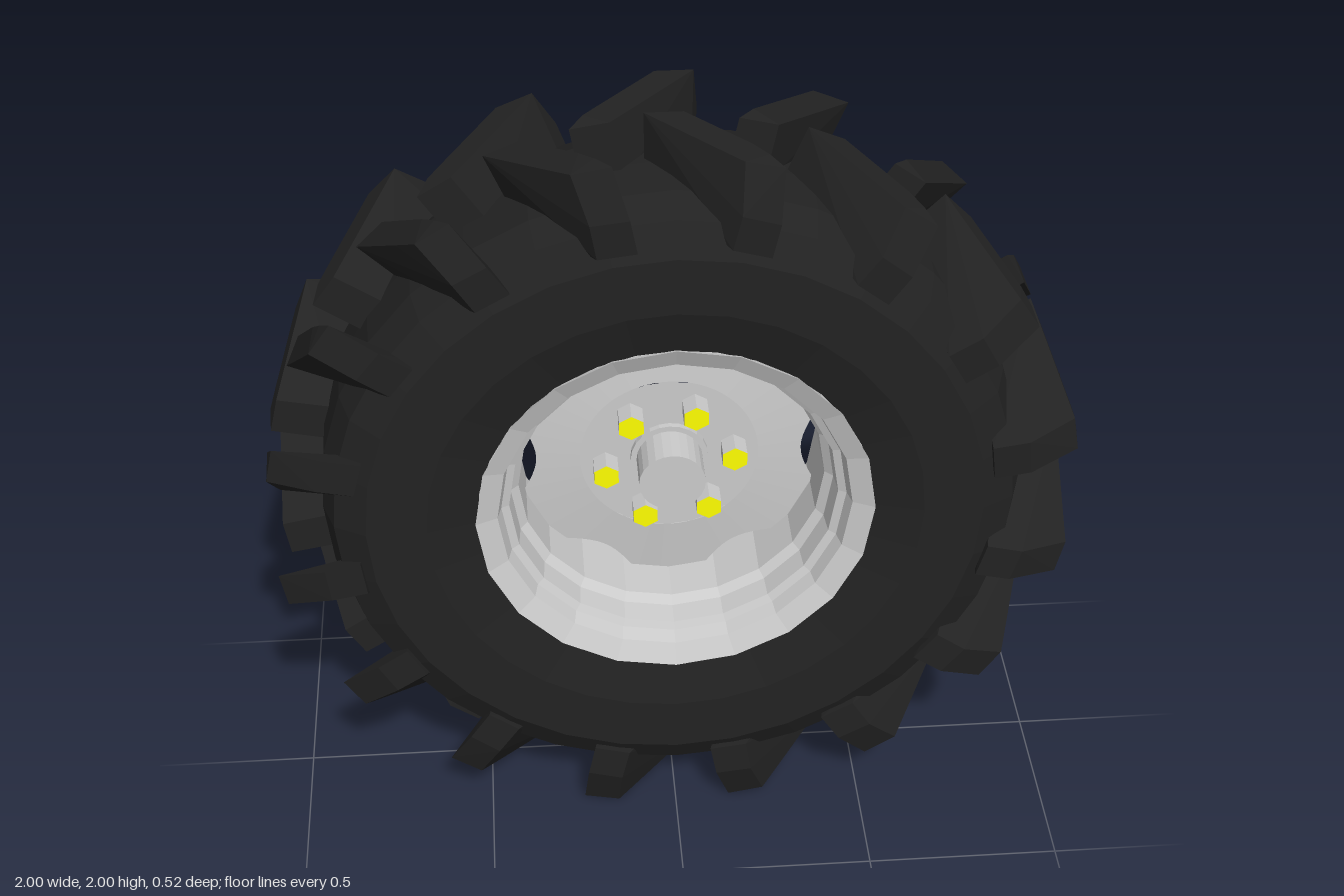
import * as THREE from 'three';
import { ConvexGeometry } from 'three/addons/geometries/ConvexGeometry.js';

const LUGS = 16;
const PITCH = Math.PI * 2 / LUGS;
const rubber = new THREE.MeshStandardMaterial({ color: 0x222222, flatShading: true, side: THREE.DoubleSide });
const steel = new THREE.MeshStandardMaterial({ color: 0xcccccc, flatShading: true, side: THREE.DoubleSide });
const yellow = new THREE.MeshStandardMaterial({ color: 0xffff00, flatShading: true });

function add(parent, name, geometry, material) {
  const mesh = new THREE.Mesh(geometry, material);
  mesh.name = name;
  parent.add(mesh);
  return mesh;
}

// Revolve [radius, z] points around the z axis
function turn(profile, sides) {
  const points = profile.map(([r, z]) => new THREE.Vector2(r, z));
  return new THREE.LatheGeometry(points, sides).rotateX(Math.PI / 2);
}

// One slanted tread bar whose top lies on a 16-sided drum; side is +1 front, -1 back
function lugGeometry(side) {
  const outer = side > 0 ? -11.5 : -1.5;
  // z, angle past the outer end, half angle, radius
  const rows = [
    [0.22, 0, 2.7, 1], [0.26, -1, 3, 0.88], [0.258, -1, 3.4, 0.79], [0.2, 0, 3.4, 0.79],
    [-0.02, 12.2, 3.3, 0.84],
  ];
  for (let i = 1; i <= 6; i++) rows.push([0.22 - 0.04 * i, 12.2 * i / 6, 2.7, 1]);
  const points = [];
  for (const [z, along, half, r] of rows)
    for (const s of [-1, 1]) {
      const a = THREE.MathUtils.degToRad(outer + along + s * half);
      const radius = r / Math.cos(a - Math.round(a / PITCH) * PITCH);
      points.push(new THREE.Vector3(Math.cos(a) * radius, Math.sin(a) * radius, z * side));
    }
  return new ConvexGeometry(points);
}

// Slightly domed disc, its edge cut by six scalloped openings
function discGeometry() {
  const geo = turn([[0.23, -0.02], [0.39, -0.035]], 120);
  const p = geo.attributes.position;
  const step = Math.PI / 3;
  for (let i = 0; i < p.count; i++) {
    if (Math.hypot(p.getX(i), p.getY(i)) < 0.3) continue;
    const a = Math.atan2(p.getY(i), p.getX(i));
    const off = a - Math.round(a / step) * step;
    const r = Math.min(0.39, 0.342 + 0.048 * (off / 0.27) ** 2);
    p.setXYZ(i, Math.cos(a) * r, Math.sin(a) * r, -0.02 - (r - 0.23) * 0.094);
  }
  geo.computeVertexNormals();
  return geo;
}

// Thin back plate with an eight-sided opening
function backPlateGeometry() {
  const circle = (r, n) => Array.from({ length: n }, (_, i) => {
    const a = (i + 0.5) * Math.PI * 2 / n;
    return new THREE.Vector2(Math.cos(a) * r, Math.sin(a) * r);
  });
  const shape = new THREE.Shape(circle(0.32, 24));
  shape.holes.push(new THREE.Path(circle(0.145, 8)));
  return new THREE.ExtrudeGeometry(shape, { depth: 0.01, bevelEnabled: false }).translate(0, 0, -0.16);
}

export function createModel() {
  const model = new THREE.Group();
  model.name = 'tractorWheel';
  const wheel = new THREE.Group();
  wheel.name = 'wheel';
  wheel.position.y = 1;
  model.add(wheel);

  // Tyre carcass
  add(wheel, 'tyre', turn([
    [0.59, -0.245], [0.64, -0.257], [0.77, -0.257], [0.85, -0.215], [0.88, -0.13], [0.885, 0],
    [0.88, 0.13], [0.85, 0.215], [0.77, 0.257], [0.62, 0.257], [0.495, 0.225],
  ], 32), rubber);

  // Staggered tread bars on both halves
  const tread = new THREE.Group();
  tread.name = 'tread';
  wheel.add(tread);
  for (const side of [1, -1]) {
    const geo = lugGeometry(side);
    for (let i = 0; i < LUGS; i++)
      add(tread, side > 0 ? 'frontLug' : 'backLug', geo, rubber).rotation.z = i * PITCH;
  }

  // Stepped rim with a wider flange at the back
  add(wheel, 'rim', turn([
    [0.6, -0.252], [0.455, -0.232], [0.44, -0.19], [0.42, -0.175], [0.41, -0.13], [0.39, -0.11],
    [0.39, 0.08], [0.41, 0.1], [0.415, 0.16], [0.435, 0.17], [0.445, 0.21], [0.5, 0.235], [0.495, 0.22],
  ], 20), steel);

  // Wheel disc, hub and hollow drum
  add(wheel, 'disc', discGeometry(), steel);
  add(wheel, 'hub', turn([
    [0, 0.1], [0.085, 0.1], [0.085, -0.005], [0.1, -0.005], [0.1, -0.02], [0.23, -0.02],
  ], 24), steel);
  add(wheel, 'drumWall', turn([[0.32, -0.155], [0.32, -0.03]], 24), steel);
  add(wheel, 'backPlate', backPlateGeometry(), steel);

  // Six wheel nuts with coloured faces
  const nutGeo = new THREE.CylinderGeometry(0.036, 0.036, 0.06, 6).rotateX(Math.PI / 2);
  for (let i = 0; i < 6; i++) {
    const a = 0.12 + i * Math.PI / 3;
    const nut = add(wheel, 'wheelNut', nutGeo, [steel, yellow, steel]);
    nut.position.set(Math.cos(a) * 0.166, Math.sin(a) * 0.166, 0.01);
  }
  return model;
}
